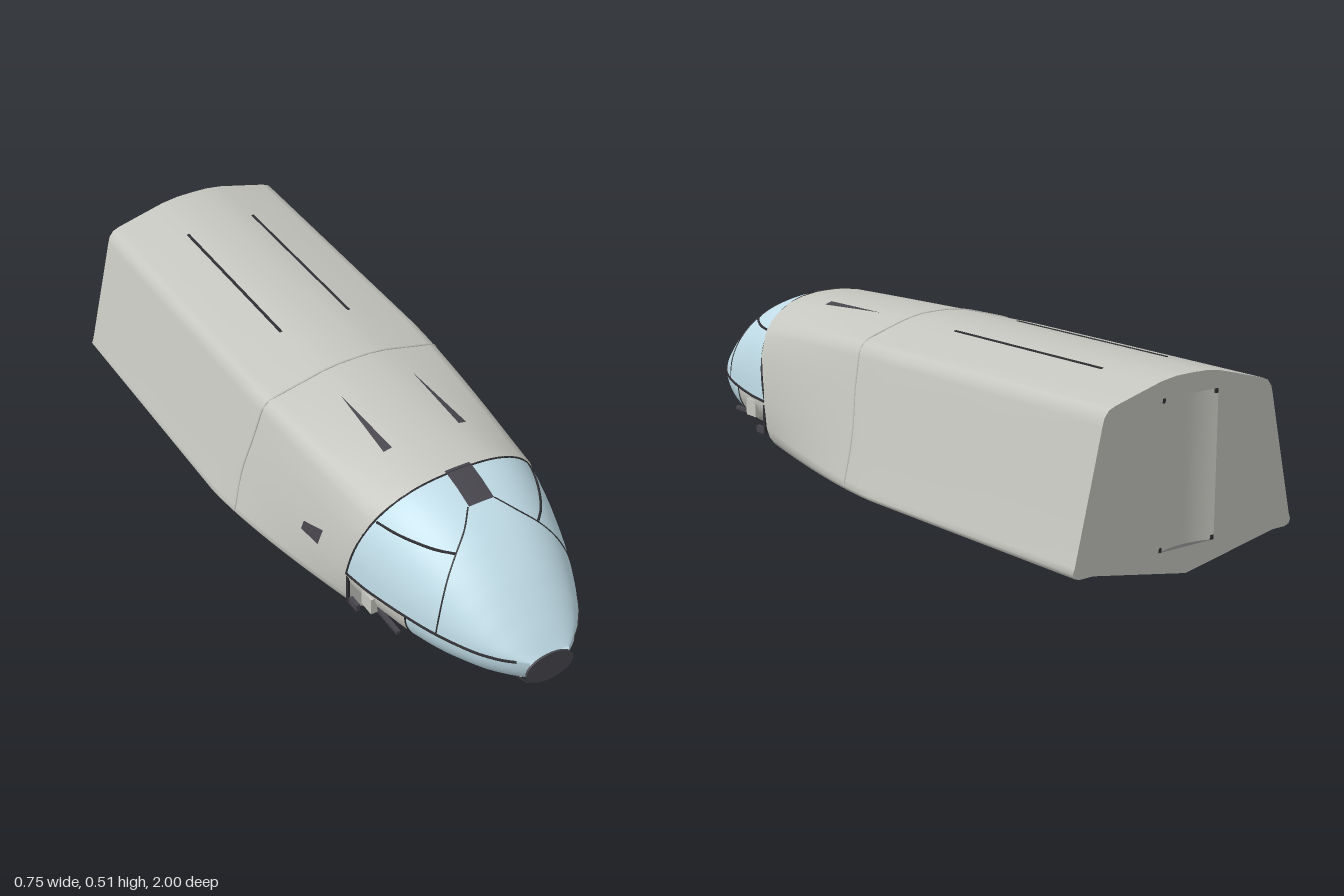
import * as THREE from 'three';

const mat = (name, color) => new THREE.MeshStandardMaterial({ name, color, side: THREE.DoubleSide });
const V = (x, y, z) => new THREE.Vector3(x, y, z);
const lerp = THREE.MathUtils.lerp;

// Hull half-sections, roof centre to bilge: rear body and front edge
const REAR = [[0, .512], [.05, .511], [.1, .504], [.17, .486], [.25, .465], [.27, .457], [.284, .44],
  [.29, .42], [.31, .335], [.34, .21], [.37, .085], [.376, .072], [.37, .06], [.355, .055]];
const FRONT = [[0, .494], [.05, .492], [.1, .485], [.15, .471], [.2, .443], [.221, .426], [.237, .408],
  [.249, .392], [.276, .332], [.293, .2], [.285, .12], [.275, .09], [.26, .07], [.24, .058]];
const LAST = REAR.length - 1;

// Nose tables: [z, value]
const TIP = .994;
const WIDTH = [[.45, .292], [.5, .288], [.55, .28], [.6, .268], [.65, .255], [.7, .24], [.75, .224], [.8, .205],
  [.85, .182], [.9, .155], [.95, .116], [.975, .088], [TIP, .06]];
const TOP = [[.45, .492], [.55, .492], [.6, .481], [.65, .464], [.7, .445], [.75, .42], [.8, .388],
  [.85, .351], [.9, .306], [.95, .256], [TIP, .206]];
const BOTTOM = [[.45, .058], [.6, .048], [.69, .04], [.75, .048], [.8, .058], [.9, .085], [.95, .104], [TIP, .122]];
const SEAM = .2;

function table(t, z) {
  let i = 0;
  while (i < t.length - 2 && z > t[i + 1][0]) i++;
  const f = THREE.MathUtils.clamp((z - t[i][0]) / (t[i + 1][0] - t[i][0]), 0, 1);
  return lerp(t[i][1], t[i + 1][1], f);
}

// Surface from a rule over i = 0..m, j = 0..n
function grid(m, n, fn) {
  const pos = [], idx = [];
  for (let i = 0; i <= m; i++) for (let j = 0; j <= n; j++) pos.push(...fn(i, j).toArray());
  for (let i = 0; i < m; i++) for (let j = 0; j < n; j++) {
    const a = i * (n + 1) + j, b = a + n + 1;
    idx.push(a, b, a + 1, b, b + 1, a + 1);
  }
  const g = new THREE.BufferGeometry();
  g.setAttribute('position', new THREE.Float32BufferAttribute(pos, 3));
  g.setIndex(idx);
  g.computeVertexNormals();
  return g;
}

// Point on the hull at station z (.5 is the slanted front edge), profile position j
function hull(z, j, side = 1, out = 0) {
  const i = Math.min(Math.floor(j), LAST - 1), f = j - i;
  const u = Math.pow(Math.max(0, (z + .15) / .65), 1.4);
  const at = (P, k) => lerp(P[i][k], P[i + 1][k], f);
  const zf = .47 + .08 * Math.max(0, at(FRONT, 1) - SEAM) / .295;
  const x = lerp(at(REAR, 0), at(FRONT, 0), u), y = lerp(at(REAR, 1), at(FRONT, 1), u);
  return V(side * (x + (j > 5 ? out : 0)), y + (j <= 5 ? out : 0), -1 + (z + 1) / 1.5 * (zf + 1));
}
// Halve an interval until the test changes
function bisect(lo, hi, below) {
  for (let k = 0; k < 24; k++) {
    const m = (lo + hi) / 2;
    if (below(m)) lo = m; else hi = m;
  }
  return lo;
}

const power = z => lerp(2.6, 2, THREE.MathUtils.clamp((z - .5) / .49, 0, 1));
const canopyX = (y, z) => {
  const s = THREE.MathUtils.clamp((y - SEAM) / (table(TOP, z) - SEAM), 0, 1), n = power(z);
  return table(WIDTH, z) * Math.pow(1 - Math.pow(s, n), 1 / n);
};
// Canopy point seen from the front at x, y
const canopyPoint = (x, y) => V(x, y, bisect(.5, TIP, z => canopyX(y, z) > Math.abs(x)) + .001);

export function createModel() {
  const root = new THREE.Group();
  root.name = 'fuselage';
  const skin = mat('hull grey', 0xc6c6c0), glass = mat('pale blue glazing', 0xc0dce7);
  const dark = mat('dark grey', 0x47454c), line = mat('frame black', 0x303034);
  const under = mat('underside charcoal', 0x626262);

  const add = (name, geo, m) => {
    const mesh = new THREE.Mesh(geo, m);
    mesh.name = name;
    root.add(mesh);
    return mesh;
  };
  const box = (name, w, h, d, x, y, z, m) => add(name, new THREE.BoxGeometry(w, h, d), m).position.set(x, y, z);
  const tube = (name, pts, r, m) =>
    add(name, new THREE.TubeGeometry(new THREE.CatmullRomCurve3(pts), 48, r, 5), m);

  // Main hull shell
  const stations = [-1, -.6, -.15];
  for (let k = 1; k <= 13; k++) stations.push(-.15 + k * .05);
  const S = stations.length - 1;
  add('hullShell', grid(S, 2 * LAST, (i, j) => hull(stations[i], Math.abs(j - LAST), j < LAST ? 1 : -1)), skin);
  add('hullFloor', grid(S, 1, (i, j) => hull(stations[i], LAST, j ? 1 : -1)), under);
  for (let z = -.9; z < .45; z += .15) {
    const w = hull(z, LAST).x * 2 - .02;
    box('floorRib', w, .003, .005, 0, .0545, z, line);
  }

  // Rear bulkhead with a shallow hollow door
  const outline = (P, keel) => {
    const half = P.map(p => new THREE.Vector2(p[0], p[1]));
    if (keel) half.push(new THREE.Vector2(.31, .055), new THREE.Vector2(0, 0));
    const left = half.filter(p => p.x > 0).map(p => new THREE.Vector2(-p.x, p.y)).reverse();
    return new THREE.Shape([...half, ...left]);
  };
  const rear = outline(REAR, true);
  rear.holes.push(new THREE.Path([[-.095, .07], [.095, .07], [.095, .46], [-.095, .46]]
    .map(p => new THREE.Vector2(...p))));
  const back = add('rearBulkhead', new THREE.ShapeGeometry(rear), skin);
  back.rotation.y = Math.PI;
  back.position.z = -1;
  add('rearDoor', grid(1, 12, (i, j) => {
    const a = j / 6 - 1;
    return V(a * .095, i ? .46 : .07, -1 + .018 * (1 - a * a));
  }), skin);
  for (const x of [-.09, .09]) for (const y of [.076, .454]) box('doorLatch', .01, .012, .004, x, y, -.998, line);

  // Front bulkhead behind the canopy, keel bulkheads
  add('frontBulkhead', new THREE.ShapeGeometry(outline(FRONT, false)), skin).position.z = .468;
  for (const z of [-.998, -.025]) {
    const keel = new THREE.Shape([[-.31, .057], [0, 0], [.31, .057]].map(p => new THREE.Vector2(...p)));
    add('keelBulkhead', new THREE.ExtrudeGeometry(keel, { depth: .008, bevelEnabled: false }), skin)
      .position.z = z;
  }
  box('chinPlate', .21, .045, .006, 0, .033, .685, skin);

  // Raised joint band round the hull
  const joint = [];
  for (let j = -LAST + 2; j <= LAST - 2; j++) joint.push(hull(-.02, Math.abs(j), j < 0 ? -1 : 1));
  tube('jointBand', joint, .003, skin);

  for (const s of [1, -1]) {
    // Roof slots and tapered roof vents
    box('roofSlot', .008, .006, .59, s * .11, .5005, -.505, line);
    add('roofVent', grid(8, 1, (i, j) => {
      const z = lerp(.1, .345, i / 8), x = .112 + (j ? 1 : -1) * .0125 * i / 8 + i * .0005;
      return hull(z, bisect(0, 10, q => hull(z, q).x < x), s, .004);
    }), dark);
  }
  // Side vent, right side only
  add('sideVent', grid(4, 4, (i, j) => {
    const z = lerp(.29, .37, i / 4), y = lerp(.215, lerp(.245, .27, i / 4), j / 4);
    return hull(z, bisect(0, 10, q => hull(z, q).y > y), -1, .004);
  }), dark);

  // Upper canopy glazing with slanted rear edge
  add('canopy', grid(28, 36, (i, j) => {
    const a = Math.PI * j / 36;
    const s = Math.pow(Math.sin(a) + 1e-9, .8);
    const z = lerp(.467 + .083 * s, TIP, 1 - Math.pow(1 - i / 28, 1.4));
    const y = SEAM + (table(TOP, z) - SEAM) * Math.min(1, s);
    return V(Math.sign(Math.cos(a)) * (j === 18 ? 0 : canopyX(y, z)), y, z);
  }), glass);

  // Lower nose: glazed front, grey rear sides, stepped charcoal belly
  const lower = (z0, z1, a0 = 0, a1 = 1) => grid(12, 28, (i, j) => {
    const z = lerp(z0, z1, i / 12), a = Math.PI * (1 + lerp(a0, a1, j / 28));
    return V(Math.cos(a) * table(WIDTH, z), SEAM + Math.sin(a) * (SEAM - table(BOTTOM, z)), z);
  });
  add('lowerGlazing', lower(.69, TIP), glass);
  for (const [z0, z1, a] of [[.45, .53, .24], [.53, .61, .29], [.61, .69, .34]]) {
    add('noseSide', lower(z0, z1, 0, a), skin);
    add('noseBelly', lower(z0, z1, a, 1 - a), under);
    add('noseSide', lower(z0, z1, 1 - a, 1), skin);
  }

  // Nose disc
  const disc = add('noseDisc', new THREE.CylinderGeometry(1, 1, .006, 40), dark);
  disc.rotation.x = Math.PI / 2;
  disc.scale.set(.072, 1, .045);
  disc.position.set(0, .165, .997);

  // Chin panel with dark side rails
  const chinStrip = (x0, x1, z0, z1) => grid(12, 1, (i, j) => {
    const z = lerp(z0, z1, i / 12);
    return V(j ? x1 : x0, table(BOTTOM, z) - .003, z);
  });
  add('chinPanel', chinStrip(-.045, .045, .69, .94), skin);
  for (const s of [1, -1]) add('chinRail', chinStrip(s * .045, s * .052, .69, .98), line);

  // Canopy frames
  const edge = [];
  for (let k = -12; k <= 12; k++) {
    const s = 1 - Math.pow(Math.abs(k) / 12, 2), z = .47 + .08 * s;
    const y = SEAM + (table(TOP, z) - SEAM) * s;
    edge.push(V(Math.sign(k) * canopyX(y, z), y, z));
  }
  tube('canopyRearFrame', edge, .003, line);
  const ring = [];
  for (let k = 0; k <= 16; k++) {
    const a = Math.PI * (1 + k / 16);
    ring.push(V(Math.cos(a) * .243, SEAM + Math.sin(a) * .16, .69));
  }
  tube('lowerRingFrame', ring, .003, line);
  const arc = [[.04, .46], [.08, .435], [.125, .4], [.16, .36], [.185, .315], [.203, .26], [.21, .205]];
  for (const s of [1, -1]) {
    tube('archFrame', arc.map(([x, y]) => canopyPoint(s * x, y)), .0022, line);
    tube('sideFrame', [.125, .16, .19, .215, .235].map(x => canopyPoint(s * x, .4)), .004, line);
    tube('seamFrame', WIDTH.slice(0, 12).map(([z, w]) => V(s * w, SEAM + .002, Math.max(z, .47))), .004, line);

    // Side fittings below the canopy
    box('sideRail', .012, .01, .1, s * .255, .14, .63, dark);
    box('sideBlock', .02, .05, .05, s * .272, .165, .56, skin);
    box('hingePost', .006, .09, .01, s * .288, .145, .475, line);
    box('hingeArm', .012, .02, .04, s * .283, .11, .5, dark);
  }
  // Canopy floor closing the overhang
  const fl = WIDTH.slice(0, 11);
  add('canopyFloor', grid(10, 1, (i, j) => V((j ? 1 : -1) * fl[i][1], SEAM, fl[i][0])), skin);

  // Dark roof cover at the canopy top
  add('roofCover', grid(8, 4, (i, j) => {
    const z = lerp(.54, .66, i / 8), x = lerp(-.038, .038, j / 4), n = power(z);
    const s = Math.pow(1 - Math.pow(Math.abs(x) / table(WIDTH, z), n), 1 / n);
    return V(x, SEAM + (table(TOP, z) - SEAM) * s + .003, z);
  }), dark);

  return root;
}
